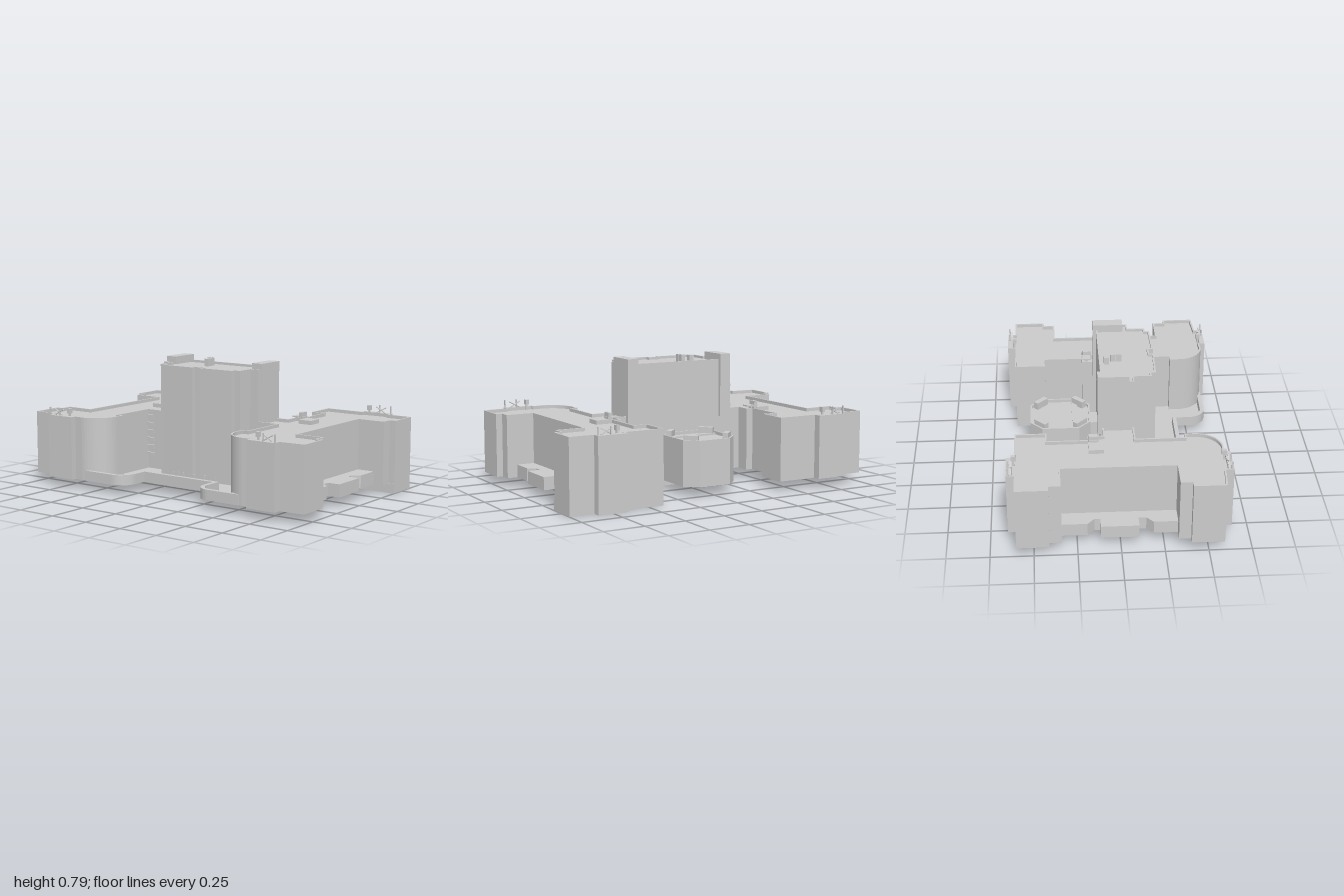
import * as THREE from 'three';

const material = new THREE.MeshStandardMaterial({ color: 0xcccccc, flatShading: true, side: THREE.DoubleSide });

function addMesh(parent, name, geometry) {
  const mesh = new THREE.Mesh(geometry, material);
  mesh.name = name;
  parent.add(mesh);
  return mesh;
}

// Box given by its x, y and z ranges
function box(parent, name, x0, x1, y0, y1, z0, z1) {
  const mesh = addMesh(parent, name, new THREE.BoxGeometry(Math.abs(x1 - x0), y1 - y0, z1 - z0));
  mesh.position.set((x0 + x1) / 2, (y0 + y1) / 2, (z0 + z1) / 2);
  return mesh;
}

// Plan outline of [x, z] points raised from y0 to y1
function prism(parent, name, plan, y0, y1, hole) {
  const toPoints = (p) => p.map(([x, z]) => new THREE.Vector2(x, -z));
  const shape = new THREE.Shape(toPoints(plan));
  if (hole) shape.holes.push(new THREE.Path(toPoints(hole)));
  const geometry = new THREE.ExtrudeGeometry(shape, { depth: y1 - y0, bevelEnabled: false });
  geometry.rotateX(-Math.PI / 2).translate(0, y0, 0);
  return addMesh(parent, name, geometry);
}

// Move every edge of a plan inwards by d, with mitred corners
function inset(plan, d) {
  const n = plan.length;
  let area = 0;
  plan.forEach(([x, z], i) => {
    const [a, b] = plan[(i + 1) % n];
    area += x * b - a * z;
  });
  const s = Math.sign(area);
  const normal = (p, q) => {
    const l = Math.hypot(q[0] - p[0], q[1] - p[1]);
    return [-s * (q[1] - p[1]) / l, s * (q[0] - p[0]) / l];
  };
  return plan.map((p, i) => {
    const u = normal(plan[(i + n - 1) % n], p), v = normal(p, plan[(i + 1) % n]);
    const k = d / (1 + u[0] * v[0] + u[1] * v[1]);
    return [p[0] + (u[0] + v[0]) * k, p[1] + (u[1] + v[1]) * k];
  });
}

// Solid block with a raised parapet round its roof
function block(parent, name, plan, y0, roof, top, thickness) {
  prism(parent, name, plan, y0, roof);
  prism(parent, name + 'Parapet', plan, roof, top, inset(plan, thickness));
}

// Quarter ellipse of plan points
function arc(cx, cz, rx, rz, from, to, steps) {
  return Array.from({ length: steps + 1 }, (_, i) => {
    const a = (from + (to - from) * i / steps) * Math.PI / 180;
    return [cx + rx * Math.cos(a), cz + rz * Math.sin(a)];
  });
}

const mirrorPlan = (plan) => plan.map(([x, z]) => [-x, z]).reverse();

export function createModel() {
  const model = new THREE.Group();
  model.name = 'building';
  const base = 0.057, roof = 0.425, top = 0.445;

  // Wings with their links to the tower
  const wingPlan = [
    [0.405, -0.6], [0.655, -0.6], [0.655, -0.625], [0.845, -0.625], [0.845, -0.6], [1, -0.6],
    [1, -0.41], [0.96, -0.41], [0.96, -0.34], [0.785, -0.34],
    [0.785, 0.33], [0.96, 0.33], [0.96, 0.4], [1, 0.4], [1, 0.59],
    [0.845, 0.6], [0.845, 0.625], [0.655, 0.625], [0.655, 0.612],
    ...arc(0.6, 0.46, 0.15, 0.155, 90, 180, 12),
    [0.45, 0.4], [0.49, 0.4], [0.49, 0.11], [0.3, 0.11], [0.3, -0.08],
    [0.445, -0.08], [0.445, -0.17], [0.49, -0.17], [0.49, -0.41], [0.405, -0.41],
  ];
  // Low terraces along the outer sides
  const terracePlan = [
    [0.78, -0.34], [0.895, -0.34], [0.895, -0.19], [0.85, -0.15], [0.85, -0.115], [0.927, -0.115],
    [0.927, 0.105], [0.85, 0.105], [0.85, 0.15], [0.895, 0.19], [0.895, 0.33], [0.78, 0.33],
  ];

  for (const side of [1, -1]) {
    const wing = new THREE.Group();
    wing.name = side > 0 ? 'leftWing' : 'rightWing';
    model.add(wing);
    const place = (plan) => (side > 0 ? plan : mirrorPlan(plan));
    block(wing, 'wing', place(wingPlan), base, roof, top, 0.01);
    prism(wing, 'sideTerrace', place(terracePlan), base, 0.135);

    for (const end of [1, -1]) {
      // Stepped stair bay on each end wall
      const z0 = end > 0 ? 0.62 : -0.648;
      box(wing, 'endBay', side * 0.655, side * 0.845, base, top, z0, z0 + 0.028);
      // Roof plant and masts above the bay
      box(wing, 'roofVent', side * 0.695, side * 0.715, 0.46, 0.49, end * 0.605 - 0.014, end * 0.605 + 0.014);
      box(wing, 'ventFoot', side * 0.7, side * 0.71, roof, 0.46, end * 0.605 - 0.006, end * 0.605 + 0.006);
      for (const x of [0.76, 0.838])
        box(wing, 'mast', side * x - 0.003, side * x + 0.003, roof, 0.492, end * 0.636 - 0.005, end * 0.636 + 0.005);
      for (const tilt of [0.5, -0.5]) {
        const bar = box(wing, 'mastBrace', side * 0.74, side * 0.82, 0.46, 0.465, end * 0.62 - 0.004, end * 0.62 + 0.004);
        bar.rotation.z = tilt;
      }
    }

    // Roof hatch and plant beside the link
    box(wing, 'hatchCurb', side * 0.52, side * 0.61, roof, 0.45, -0.17, -0.08);
    box(wing, 'hatchLid', side * 0.455, side * 0.53, 0.455, 0.463, -0.165, -0.115);
    box(wing, 'hatchPost', side * 0.49, side * 0.5, roof, 0.458, -0.15, -0.13);
    box(wing, 'linkVent', side * 0.505, side * 0.525, roof, 0.488, -0.165, -0.11);

    // Balcony slabs in the corner of wing and link
    for (let i = 0; i < 6; i++) {
      const y = 0.15 + i * 0.048;
      box(wing, 'balcony', side * 0.44, side * 0.49, y, y + 0.022, 0.1, 0.125);
    }

    // Tall fin rising above the tower flank
    box(model, 'towerFin', side * 0.29, side * 0.362, 0.4, 0.79, -0.105, 0.08);
  }

  // Central tower with stepped front and a slot down the middle
  const towerHalf = [
    [0.03, 0.222], [0.03, 0.25], [0.26, 0.245], [0.26, 0.217], [0.3, 0.217], [0.3, 0.11], [0.36, 0.11], [0.36, -0.085],
  ];
  block(model, 'tower', [...towerHalf, ...mirrorPlan(towerHalf)], base, 0.742, 0.757, 0.01);
  for (const [x, z] of [[-0.11, -0.04], [-0.075, 0], [-0.075, 0.035]])
    box(model, 'chimney', x - 0.013, x + 0.013, 0.74, 0.788, z - 0.016, z + 0.016);

  // Front terrace with a parapet that sweeps out round the wings
  const terraceHalf = [
    [0.26, 0.43], ...arc(0.36, 0.51, 0.1, 0.11, 180, 90, 10), [0.58, 0.62], [0.58, -0.07],
  ];
  block(model, 'frontTerrace', [...terraceHalf, ...mirrorPlan(terraceHalf)], base, 0.068, 0.12, 0.025);
  // Small railing posts at the tower foot
  for (let i = 0; i < 9; i++) {
    const x = -0.16 + i * 0.04;
    box(model, 'railPost', x - 0.004, x + 0.004, 0.068, 0.11, 0.27, 0.278);
  }

  // Basements
  box(model, 'towerBasement', -0.36, 0.36, 0, 0.065, -0.1, 0.23);
  box(model, 'wingBasement', 0.405, 1, 0, 0.06, -0.6, -0.405);
  box(model, 'bayBasement', 0.655, 0.845, 0, 0.06, -0.648, -0.59);

  // Eight-sided hall behind the tower
  const hallHalf = [[0.105, -0.507], [0.177, -0.435], [0.177, -0.21], [0.105, -0.138]];
  block(model, 'hall', [...hallHalf, ...mirrorPlan(hallHalf)], base, 0.315, 0.335, 0.01);
  box(model, 'hallRoofStep', -0.166, 0.166, 0.31, 0.325, -0.25, -0.215);
  box(model, 'hallPassage', -0.06, 0.06, base, 0.3, -0.15, -0.07);
  for (const sx of [1, -1]) for (const sz of [1, -1]) {
    const light = box(model, 'hallSkylight', -0.045, 0.045, 0.31, 0.36, -0.016, 0.016);
    light.position.x = sx * 0.125;
    light.position.z = -0.3225 + sz * 0.118;
    light.rotation.y = sx * sz * Math.PI / 4;
  }
  return model;
}
